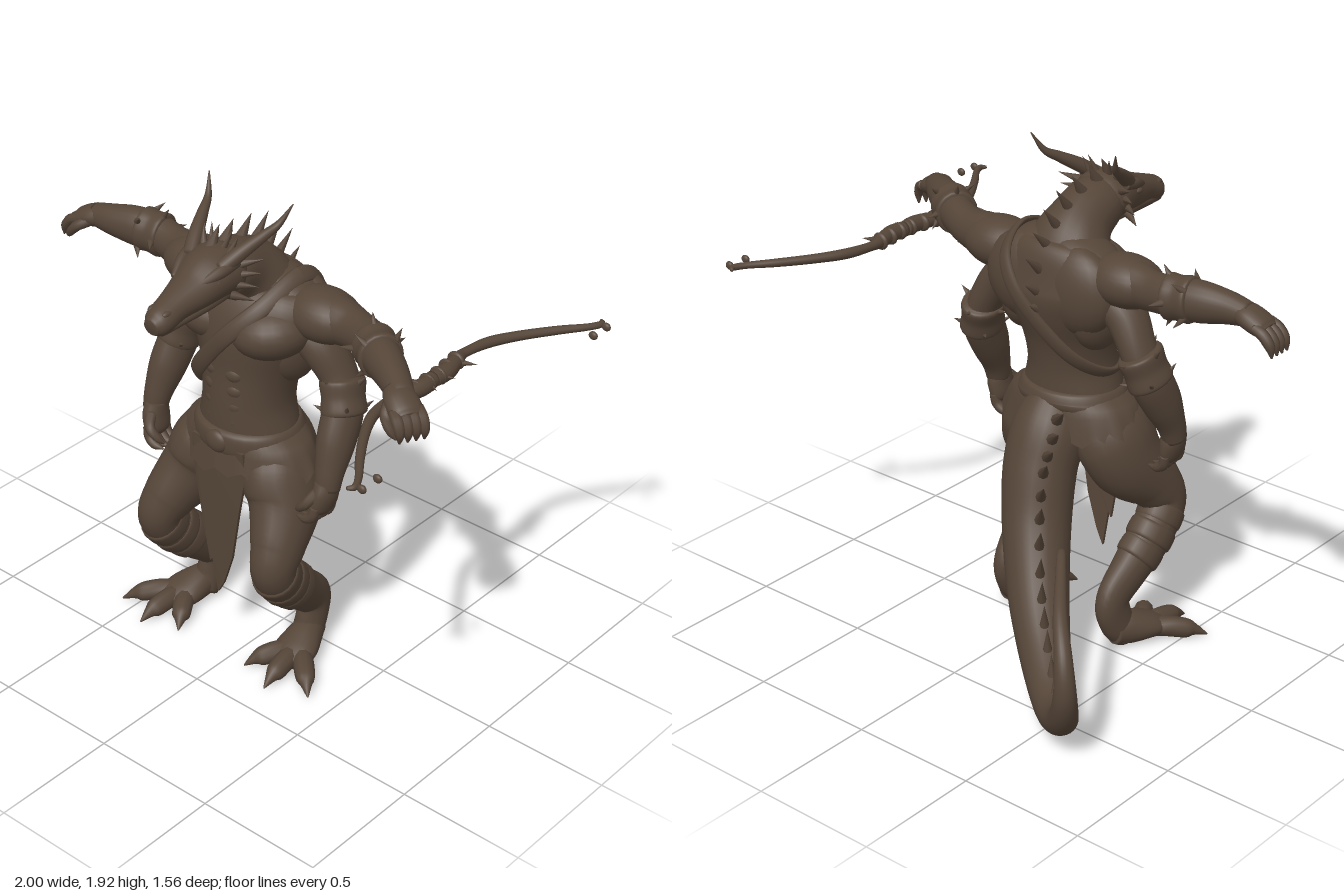
import * as THREE from 'three';

const V = (x, y, z) => new THREE.Vector3(x, y, z);
const CX = -0.045; // body centre line
const flip = (pts) => pts.map(([x, ...r]) => [2 * CX - 0.02 - x, ...r]);

export function createModel() {
  const root = new THREE.Group();
  const hide = new THREE.MeshStandardMaterial({ color: 0x554538 });
  hide.name = 'dark brown';
  const cloth = hide.clone();
  cloth.side = THREE.DoubleSide;
  cloth.name = 'dark brown cloth';

  const add = (name, geo, mat = hide) => {
    const m = new THREE.Mesh(geo, mat);
    m.name = name;
    root.add(m);
    return m;
  };

  // Smooth path with oval sections: points are [x, y, z, half-width along ref, half-width across]
  const frames = (pts, ref, closed = false) => {
    const path = new THREE.CatmullRomCurve3(pts.map((p) => V(p[0], p[1], p[2])), closed, 'catmullrom', 0.5);
    const size = new THREE.CatmullRomCurve3(pts.map((p) => V(p[3], p[4] ?? p[3], 0)), closed, 'catmullrom', 0.5);
    return (t) => {
      const T = path.getTangent(t);
      const S = V(...ref).addScaledVector(T, -T.dot(V(...ref))).normalize();
      return { p: path.getPoint(t), T, S, O: T.clone().cross(S), r: size.getPoint(t) };
    };
  };
  const loft = (name, pts, ref = [1, 0, 0], seg = 20, closed = false) => {
    const at = frames(pts, ref, closed), n = pts.length * 6, pos = [], idx = [];
    for (let i = 0; i <= n; i++) {
      const { p, S, O, r } = at(i / n);
      for (let j = 0; j < seg; j++) {
        const a = (j / seg) * Math.PI * 2;
        const v = p.clone().addScaledVector(S, Math.cos(a) * r.x).addScaledVector(O, Math.sin(a) * r.y);
        pos.push(v.x, v.y, v.z);
        if (i < n) {
          const k = i * seg, b = k + j, c = k + ((j + 1) % seg);
          idx.push(b, c, b + seg, c, c + seg, b + seg);
        }
      }
    }
    if (!closed) {
      [0, 1].forEach((e) => {
        const p = at(e).p, k = pos.length / 3, s = e * n * seg;
        pos.push(p.x, p.y, p.z);
        for (let j = 0; j < seg; j++) {
          const a = s + j, b = s + ((j + 1) % seg);
          e ? idx.push(k, a, b) : idx.push(k, b, a);
        }
      });
    }
    const g = new THREE.BufferGeometry();
    g.setAttribute('position', new THREE.Float32BufferAttribute(pos, 3));
    g.setIndex(idx);
    g.computeVertexNormals();
    return add(name, g);
  };
  const ball = (name, x, y, z, sx, sy, sz, rz = 0) => {
    const m = add(name, new THREE.SphereGeometry(1, 24, 16));
    m.position.set(x, y, z);
    m.scale.set(sx, sy, sz);
    m.rotation.z = rz;
  };
  const spike = (name, p, dir, len, rad) => {
    const m = add(name, new THREE.ConeGeometry(rad, len, 8));
    const d = dir.clone().normalize();
    m.quaternion.setFromUnitVectors(V(0, 1, 0), d);
    m.position.copy(p).addScaledVector(d, len * 0.4);
  };
  // Palm with four curled fingers and a thumb: d along, w across, n curl direction
  const hand = (name, p, d, w, n) => {
    const pt = (a, b, c, r) => {
      const v = p.clone().addScaledVector(d, a).addScaledVector(w, b).addScaledVector(n, c);
      return [v.x, v.y, v.z, r];
    };
    const ref = w.toArray();
    loft(name, [[...pt(-0.05, 0, 0, 0.045), 0.04], [...pt(0, 0, 0, 0.06), 0.042], [...pt(0.055, 0, 0.01, 0.06), 0.036], [...pt(0.08, 0, 0.012, 0.045), 0.022]], ref);
    for (let i = 0; i < 4; i++) {
      const b = (i - 1.5) * 0.03;
      loft(name + 'Finger', [pt(0.045, b, 0.005, 0.02), pt(0.085, b, 0.015, 0.021), pt(0.108, b, 0.045, 0.018), pt(0.11, b, 0.085, 0.004)], ref, 8);
    }
    loft(name + 'Thumb', [pt(-0.01, 0.035, 0.01, 0.022), pt(0.03, 0.065, 0.03, 0.02), pt(0.065, 0.06, 0.065, 0.016), pt(0.085, 0.045, 0.09, 0.004)], n.toArray(), 8);
  };

  // Torso with muscle masses
  loft('torso', [[CX, 0.77, 0.13, 0.09, 0.08], [CX, 0.87, 0.13, 0.21, 0.15], [CX, 0.98, 0.14, 0.2, 0.165], [CX, 1.1, 0.14, 0.175, 0.168],
    [CX, 1.22, 0.128, 0.19, 0.175], [CX, 1.35, 0.108, 0.24, 0.198], [CX, 1.46, 0.085, 0.29, 0.192], [CX, 1.55, 0.06, 0.25, 0.14], [CX, 1.6, 0.06, 0.13, 0.08]], [1, 0, 0], 32);
  for (const s of [-1, 1]) {
    ball('chestMuscle', CX + s * 0.125, 1.415, 0.15, 0.155, 0.11, 0.165, s * 0.15);
    ball('shoulder', CX + s * 0.29, 1.495, 0.07, 0.16, 0.098, 0.115);
    ball('shoulderBlade', CX + s * 0.12, 1.43, 0.01, 0.17, 0.17, 0.095);
    ball('sideMuscle', CX + s * 0.165, 1.34, 0.08, 0.085, 0.15, 0.13);
    ball('trapezius', CX + s * 0.12, 1.545, 0.07, 0.17, 0.07, 0.11, -s * 0.35);
    for (let i = 0; i < 4; i++) ball('abdominal', CX + s * 0.043, 1.05 + i * 0.065, 0.262, 0.05, 0.04, 0.04);
  }

  // Neck, head and jaw
  loft('neck', [[-0.05, 1.42, 0.06, 0.21, 0.14], [-0.05, 1.54, 0.105, 0.17, 0.14], [-0.045, 1.62, 0.18, 0.12, 0.122], [-0.04, 1.665, 0.28, 0.108, 0.1], [-0.035, 1.67, 0.36, 0.06, 0.06]]);
  loft('head', [[-0.04, 1.67, 0.22, 0.06, 0.05], [-0.04, 1.675, 0.28, 0.11, 0.092], [-0.035, 1.675, 0.36, 0.11, 0.092], [-0.03, 1.65, 0.45, 0.088, 0.072],
    [-0.025, 1.63, 0.55, 0.062, 0.055], [-0.02, 1.605, 0.63, 0.054, 0.05], [-0.02, 1.598, 0.667, 0.03, 0.03]]);
  loft('jaw', [[-0.04, 1.61, 0.3, 0.08, 0.035], [-0.03, 1.605, 0.42, 0.078, 0.037], [-0.025, 1.588, 0.54, 0.054, 0.03], [-0.02, 1.576, 0.635, 0.038, 0.022]]);
  for (const s of [-1, 1]) {
    const hx = -0.04;
    loft('horn', [[hx + s * 0.07, 1.72, 0.37, 0.03], [hx + s * 0.105, 1.77, 0.3, 0.027], [hx + s * 0.14, 1.815, 0.225, 0.02],
      [hx + s * 0.165, 1.85, 0.17, 0.013], [hx + s * 0.195, 1.92, 0.13, 0.002]], [1, 0, 0], 12);
    loft('brow', [[hx + s * 0.095, 1.735, 0.31, 0.02], [hx + s * 0.085, 1.718, 0.39, 0.022], [hx + s * 0.055, 1.688, 0.47, 0.01]], [1, 0, 0], 10);
    ball('eye', hx + s * 0.09, 1.688, 0.4, 0.014, 0.012, 0.02);
    ball('nostril', -0.022 + s * 0.032, 1.643, 0.615, 0.014, 0.012, 0.025);
    for (let i = 0; i < 4; i++) spike('cheekSpike', V(hx + s * 0.1, 1.72 - i * 0.035, 0.29 + i * 0.015), V(s, 0.35 - i * 0.2, -0.6), 0.09, 0.018);
    for (let i = 0; i < 2; i++) spike('crownSpike', V(hx + s * (0.025 + i * 0.035), 1.75, 0.31), V(s * 0.3, 1, -0.4), 0.1 - i * 0.02, 0.017);
  }

  // Spikes along the neck and back: [y, z, upward lean, length]
  for (const [y, z, up, len] of [[1.76, 0.32, 1.6, 0.09], [1.755, 0.25, 1.5, 0.09], [1.73, 0.17, 1.3, 0.11], [1.685, 0.1, 1.2, 0.14], [1.63, 0.04, 1.1, 0.15],
    [1.57, -0.01, 0.9, 0.15], [1.5, -0.06, 0.8, 0.13], [1.43, -0.085, 0.6, 0.09], [1.36, -0.08, 0.5, 0.06], [1.29, -0.055, 0.5, 0.05]])
    spike('backSpike', V(-0.055, y, z), V(0, up, -1), len, 0.026);

  // Tail and its crest
  const tail = [[CX, 0.98, 0.07, 0.1, 0.09], [-0.04, 0.85, 0.01, 0.14, 0.14], [-0.04, 0.7, -0.05, 0.14, 0.15], [-0.09, 0.5, -0.13, 0.13, 0.14], [-0.2, 0.3, -0.25, 0.115, 0.125],
    [-0.35, 0.16, -0.39, 0.095, 0.1], [-0.53, 0.09, -0.55, 0.075, 0.07], [-0.66, 0.16, -0.67, 0.058, 0.056], [-0.725, 0.3, -0.735, 0.043, 0.043], [-0.705, 0.44, -0.72, 0.033, 0.033],
    [-0.625, 0.54, -0.64, 0.026, 0.026], [-0.52, 0.6, -0.51, 0.02, 0.02], [-0.44, 0.625, -0.41, 0.017, 0.017], [-0.42, 0.605, -0.385, 0.012, 0.012]];
  const tailRef = [0.7, 0, -0.7];
  loft('tail', tail, tailRef, 24);
  const tailAt = frames(tail, tailRef);
  for (let i = 0; i < 13; i++) {
    const { p, O, T, r } = tailAt(0.055 + i * 0.034);
    spike('tailSpike', p.addScaledVector(O, -r.y * 0.96), O.clone().negate().addScaledVector(T, -0.35), 0.15 - i * 0.005, 0.026 - i * 0.0007);
  }

  // Legs: raised heels, shin wraps and three clawed toes
  const legs = [
    [1, [[0.08, 0.93, 0.12, 0.1, 0.12], [0.115, 0.83, 0.15, 0.135, 0.165], [0.165, 0.72, 0.185, 0.128, 0.155], [0.21, 0.6, 0.275, 0.1, 0.112], [0.22, 0.51, 0.31, 0.083, 0.09],
      [0.195, 0.4, 0.22, 0.085, 0.095], [0.18, 0.3, 0.115, 0.07, 0.085], [0.17, 0.21, 0.025, 0.054, 0.08], [0.17, 0.12, 0.035, 0.054, 0.075], [0.175, 0.04, 0.08, 0.06, 0.06]]],
    [-1, [[-0.17, 0.93, 0.12, 0.1, 0.12], [-0.22, 0.83, 0.15, 0.135, 0.165], [-0.265, 0.72, 0.185, 0.125, 0.155], [-0.315, 0.6, 0.285, 0.1, 0.112], [-0.34, 0.51, 0.32, 0.083, 0.09],
      [-0.345, 0.4, 0.23, 0.082, 0.095], [-0.335, 0.3, 0.125, 0.068, 0.085], [-0.33, 0.21, 0.03, 0.054, 0.08], [-0.335, 0.12, 0.04, 0.054, 0.075], [-0.345, 0.04, 0.085, 0.06, 0.06]]],
  ];
  for (const [s, pts] of legs) {
    loft('leg', pts);
    const at = frames(pts, [1, 0, 0]);
    for (const t of [0.49, 0.55, 0.61]) {
      const ring = [-0.04, -0.025, 0.025, 0.04].map((d, i) => {
        const { p, r, T } = at(t), k = i % 3 ? 0.005 : -0.005;
        p.addScaledVector(T, d);
        return [p.x, p.y, p.z, r.x + k, r.y + k];
      });
      loft('shinWrap', ring);
    }
    const [fx, , fz] = pts[pts.length - 1];
    loft('foot', [[fx, 0.075, fz - 0.07, 0.04, 0.05], [fx + s * 0.01, 0.07, fz, 0.065, 0.065], [fx + s * 0.03, 0.055, fz + 0.09, 0.085, 0.05], [fx + s * 0.04, 0.04, fz + 0.16, 0.065, 0.03]]);
    for (const [dx, dz] of [[-0.08, 0.23], [0.055, 0.28], [0.2, 0.22]]) {
      const q = (k, y, r) => [fx + s * (0.03 + (dx - 0.03) * k), y, fz + 0.06 + (dz - 0.06) * k, r];
      loft('toe', [q(0, 0.045, 0.037), q(0.4, 0.05, 0.04), q(0.75, 0.038, 0.037), q(0.9, 0.03, 0.022), q(1.1, 0.008, 0.003)], [1, 0, 0], 10);
    }
  }

  // Arm with a spiked cuff of half-length h at path position t
  const arm = (name, pts, ref, t, h) => {
    loft(name, pts, ref);
    const { p, T, S, O, r } = frames(pts, ref)(t);
    const cuff = [[-1, -0.01], [-0.8, 0.011], [0, 0.007], [0.8, 0.011], [1, -0.01]].map(([d, k]) => {
      const c = p.clone().addScaledVector(T, d * h);
      return [c.x, c.y, c.z, r.x + k, r.y + k];
    });
    loft(name + 'Cuff', cuff, ref);
    for (let i = 0; i < 8; i++) {
      const a = i * Math.PI / 4, d = S.clone().multiplyScalar(Math.cos(a)).addScaledVector(O, Math.sin(a));
      const b = p.clone().addScaledVector(d, r.x).addScaledVector(T, (i % 2 ? 0.7 : -0.7) * h);
      spike(name + 'CuffSpike', b, d.addScaledVector(T, -0.6), 0.055, 0.015);
    }
  };
  arm('upperRightArm', [[-0.27, 1.495, 0.06, 0.085, 0.09], [-0.38, 1.5, 0.06, 0.088, 0.085], [-0.48, 1.5, 0.045, 0.074, 0.066], [-0.58, 1.51, 0.035, 0.074, 0.066],
    [-0.68, 1.515, 0.05, 0.077, 0.066], [-0.78, 1.515, 0.07, 0.061, 0.056], [-0.87, 1.51, 0.075, 0.044, 0.045]], [0, 1, 0], 0.54, 0.055);
  hand('upperRightHand', V(-0.875, 1.505, 0.075), V(-0.95, -0.2, 0).normalize(), V(0, 0, 1), V(-0.2, -0.95, 0).normalize());
  arm('upperLeftArm', [[0.18, 1.495, 0.06, 0.085, 0.09], [0.3, 1.5, 0.07, 0.088, 0.09], [0.4, 1.5, 0.085, 0.076, 0.073], [0.5, 1.51, 0.125, 0.072, 0.068],
    [0.6, 1.515, 0.19, 0.077, 0.07], [0.7, 1.515, 0.255, 0.064, 0.06], [0.81, 1.505, 0.335, 0.045, 0.045]], [0, 1, 0], 0.61, 0.055);
  hand('upperLeftHand', V(0.81, 1.5, 0.345), V(0.84, -0.18, 0.45).normalize(), V(-0.47, 0, 0.88), V(-0.1, -0.98, -0.08).normalize());
  const low = [[0.15, 1.42, 0.07, 0.08, 0.09], [0.235, 1.36, 0.065, 0.076, 0.085], [0.305, 1.25, 0.05, 0.064, 0.076], [0.34, 1.15, 0.07, 0.07, 0.085],
    [0.355, 1.04, 0.125, 0.068, 0.08], [0.365, 0.94, 0.17, 0.054, 0.058], [0.37, 0.87, 0.19, 0.045, 0.048]];
  arm('lowerLeftArm', low, [1, 0, 0], 0.44, 0.07);
  arm('lowerRightArm', flip(low), [1, 0, 0], 0.44, 0.07);
  for (const s of [-1, 1])
    hand(s > 0 ? 'lowerLeftHand' : 'lowerRightHand', V(CX - 0.007 + s * 0.418, 0.855, 0.195), V(0, -1, 0.1).normalize(), V(0, 0.1, 1).normalize(), V(-s, 0, 0));

  // Belt, buckle, ragged skirt and front cloth
  loft('belt', [[CX, 0.92, 0.135, 0.2, 0.15], [CX, 0.935, 0.137, 0.226, 0.184], [CX, 0.97, 0.14, 0.218, 0.192], [CX, 1.005, 0.14, 0.2, 0.182], [CX, 1.02, 0.14, 0.17, 0.15]], [1, 0, 0], 32);
  ball('buckle', CX, 0.965, 0.32, 0.05, 0.045, 0.025);
  const skirt = new THREE.CylinderGeometry(1, 1, 1, 64, 5, true);
  const sp = skirt.attributes.position;
  for (let i = 0; i < sp.count; i++) {
    const k = 0.5 - sp.getY(i), a = Math.atan2(sp.getZ(i), sp.getX(i));
    const rag = 0.016 * Math.cos(a * 16) + 0.014 * Math.cos(a * 5);
    sp.setXYZ(i, sp.getX(i) * (0.205 + 0.105 * Math.sqrt(k)), 0.08 - 0.15 * k + k * k * rag, sp.getZ(i) * (0.175 + 0.02 * k));
  }
  skirt.computeVertexNormals();
  add('skirt', skirt, cloth).position.set(CX, 0.91, 0.14);
  const panel = new THREE.Shape([[-0.17, 0.95], [-0.185, 0.85], [-0.17, 0.75], [-0.145, 0.55], [-0.12, 0.38], [-0.105, 0.4], [-0.085, 0.25], [-0.05, 0.31], [0.0, 0.45], [0.045, 0.68], [0.08, 0.85], [0.075, 0.95]].map((p) => new THREE.Vector2(...p)));
  const front = new THREE.ExtrudeGeometry(panel, { depth: 0.012, bevelEnabled: false });
  const fp = front.attributes.position;
  for (let i = 0; i < fp.count; i++) fp.setZ(i, fp.getZ(i) + 0.255 + 0.07 * fp.getY(i) - 1.2 * (fp.getX(i) - CX) ** 2);
  front.computeVertexNormals();
  add('frontCloth', front);

  // Strap looped across chest and back
  loft('chestStrap', [[0.13, 1.605, 0.06], [0.1, 1.535, 0.225], [0.02, 1.44, 0.308], [-0.07, 1.335, 0.312], [-0.17, 1.21, 0.28], [-0.235, 1.12, 0.2], [-0.24, 1.1, 0.09],
    [-0.17, 1.17, -0.02], [-0.06, 1.3, -0.085], [0.04, 1.43, -0.11], [0.11, 1.54, -0.065]].map((p) => [...p, 0.033, 0.012]), [0.72, -0.69, 0], 10, true);

  // Bow held level, with a knotted grip and hooked ends
  const half = [[0.73, 0, 0.03], [0.735, 0.07, 0.032], [0.715, 0.15, 0.027], [0.705, 0.21, 0.018], [0.725, 0.32, 0.02], [0.78, 0.43, 0.018],
    [0.86, 0.55, 0.016], [0.925, 0.635, 0.013], [0.95, 0.685, 0.012], [0.935, 0.708, 0.006]];
  for (const s of [-1, 1]) {
    loft('bowLimb', half.map(([x, z, r]) => [x, 1.42, 0.065 + s * z, r]), [0, 1, 0], 12);
    for (const [x, z] of [[0.975, 0.6], [0.975, 0.68]]) ball('bowTipBead', x, 1.42, 0.065 + s * z, 0.018, 0.016, 0.011);
    for (let i = 0; i < 3; i++) {
      ball('bowGripRing', 0.73 - i * 0.008, 1.42, 0.065 + s * (0.03 + i * 0.06), 0.036, 0.034, 0.016);
      spike('bowSpike', V(0.74, 1.42, 0.065 + s * (0.03 + i * 0.06)), V(i % 2 ? -1 : 1, 0, s * 0.5), 0.06, 0.013);
    }
  }
  return root;
}
